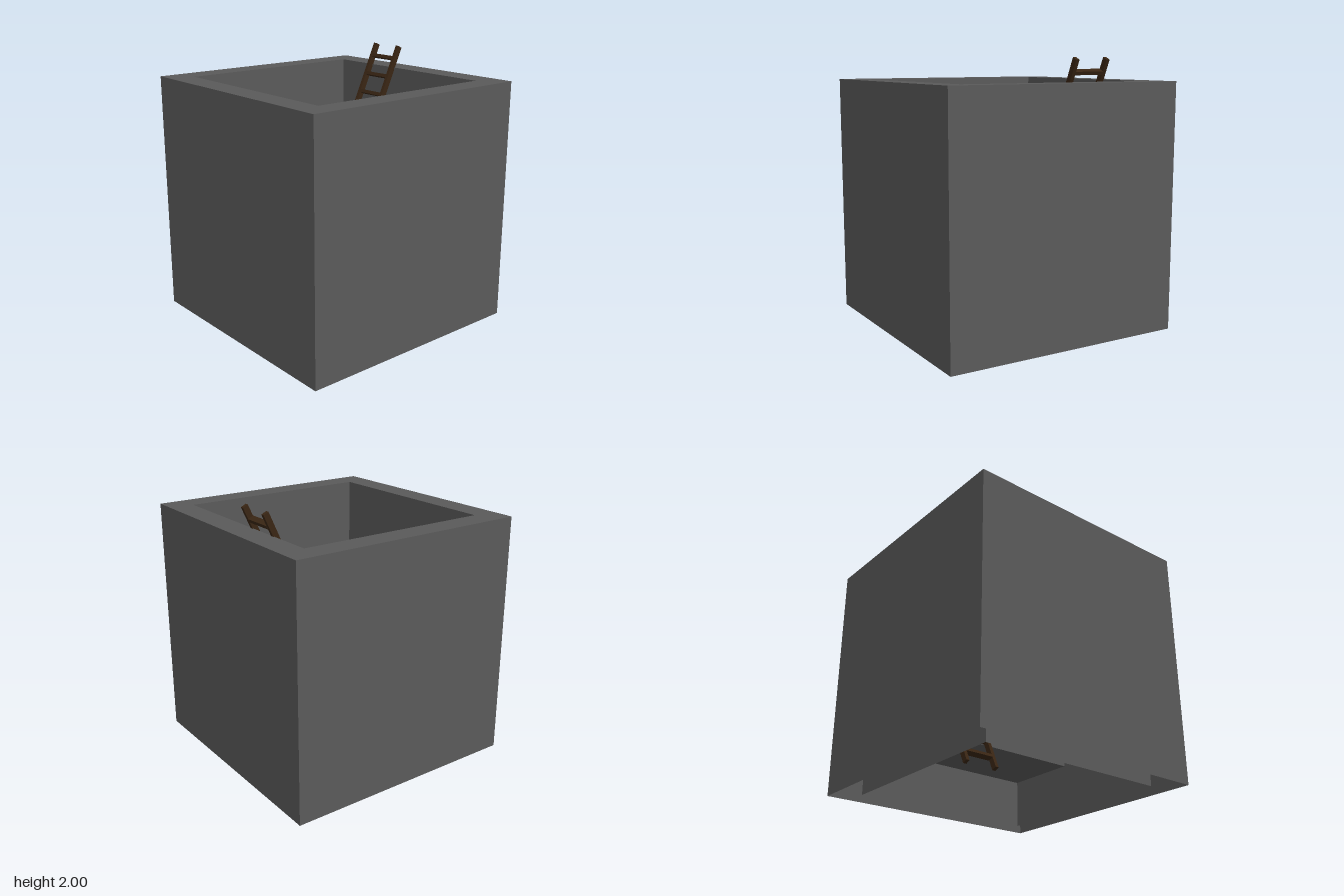
import * as THREE from 'three';

const OUT = 0.915, IN = 0.733, TOP = 1.83;
const C1 = IN / 5, C2 = C1 * 3; // grid lines of the stepped floor

export function createModel() {
  const model = new THREE.Group();
  const stone = new THREE.MeshStandardMaterial({ color: 0x5a5a5a, side: THREE.DoubleSide });
  const wood = new THREE.MeshStandardMaterial({ color: 0x3a2614 });

  const add = (parent, name, geometry, material) => {
    const mesh = new THREE.Mesh(geometry, material);
    mesh.name = name;
    parent.add(mesh);
    return mesh;
  };

  // Square walls: outer face, top rim and inner face, open underneath
  const profile = [[OUT, 0], [OUT, TOP], [IN, TOP], [IN, 0]]
    .map(([r, y]) => new THREE.Vector2(r * Math.SQRT2, y));
  const walls = new THREE.LatheGeometry(profile, 4, Math.PI / 4).toNonIndexed();
  walls.computeVertexNormals();
  add(model, 'walls', walls, stone);

  // Borders between the floor levels, as [x, z] points
  const lowEdge = [[-IN, C1], [-C2, C1], [-C2, -C1], [C2, -C1]];
  const highEdge = [[C2, -C1], [C2, C1], [C1, C1], [C1, C2], [-C1, C2], [-C1, IN]];
  const corner = [IN, -C1];
  const LOW = 0.367, MID = 0.553, HIGH = 0.735;

  const floor = (name, points, y) => {
    const shape = new THREE.Shape(points.map(([x, z]) => new THREE.Vector2(x, -z)));
    const geometry = new THREE.ShapeGeometry(shape).rotateX(-Math.PI / 2).translate(0, y, 0);
    add(model, name, geometry, stone);
  };
  floor('lowerFloor', [...lowEdge, corner, [IN, -IN], [-IN, -IN]], LOW);
  floor('middleFloor', [...lowEdge, ...highEdge.slice(1), [-IN, IN]], MID);
  floor('upperFloor', [...highEdge, [IN, IN], corner], HIGH);

  // Vertical step faces along the borders
  const risers = (name, points, y0, y1) => {
    for (let i = 0; i < points.length - 1; i++) {
      const [ax, az] = points[i], [bx, bz] = points[i + 1];
      const geometry = new THREE.PlaneGeometry(Math.hypot(bx - ax, bz - az), y1 - y0)
        .rotateY(-Math.atan2(bz - az, bx - ax))
        .translate((ax + bx) / 2, (y0 + y1) / 2, (az + bz) / 2);
      add(model, name, geometry, stone);
    }
  };
  risers('lowerStep', lowEdge, LOW, MID);
  risers('upperStep', highEdge, MID, HIGH);
  risers('sideStep', [highEdge[0], corner], LOW, HIGH);

  // Leaning ladder, its foot sunk through the floor
  const ladder = new THREE.Group();
  ladder.name = 'ladder';
  const length = 2.05, rungs = 13, spacing = 0.154;
  for (const side of [-1, 1]) {
    add(ladder, 'rail', new THREE.BoxGeometry(0.027, length, 0.042), wood)
      .position.x = side * 0.128;
  }
  for (let i = 0; i < rungs; i++) {
    add(ladder, 'rung', new THREE.BoxGeometry(0.23, 0.026, 0.046), wood)
      .position.y = (i - (rungs - 1) / 2) * spacing;
  }
  ladder.rotation.x = -0.426;
  ladder.position.set(-0.252, 1.057, -0.367);
  model.add(ladder);

  return model;
}
